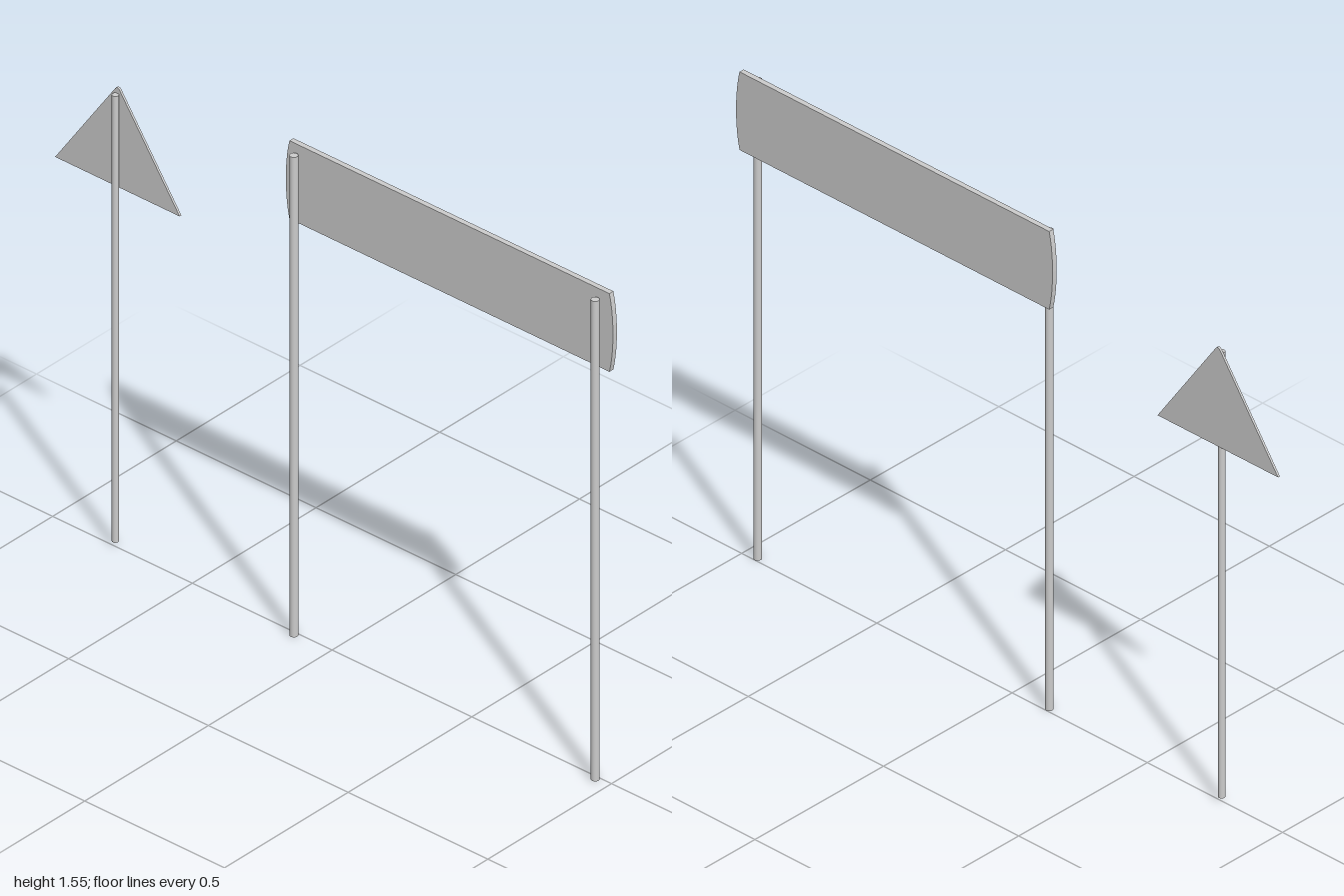
import * as THREE from 'three';

const material = new THREE.MeshStandardMaterial({ color: 0xcccccc });

// Upright round post
function post(name, radius, x, z, y0, y1) {
  const geo = new THREE.CylinderGeometry(radius, radius, y1 - y0, 16);
  geo.translate(x, (y0 + y1) / 2, z);
  const mesh = new THREE.Mesh(geo, material);
  mesh.name = name;
  return mesh;
}

// Flat plate: outline drawn in (z, y), thickness running from x0 to x1
function plate(name, shape, x0, x1) {
  const geo = new THREE.ExtrudeGeometry(shape, { depth: x1 - x0, bevelEnabled: false, curveSegments: 10 });
  geo.rotateY(-Math.PI / 2);
  geo.translate(x1, 0, 0);
  const mesh = new THREE.Mesh(geo, material);
  mesh.name = name;
  return mesh;
}

export function createModel() {
  const model = new THREE.Group();

  // Long sign board with bowed ends
  const board = new THREE.Shape();
  const [back, front, low, high] = [-0.158, 0.987, 1.303, 1.552];
  board.moveTo(back, low);
  board.lineTo(front, low);
  board.bezierCurveTo(front + 0.017, low + 0.07, front + 0.017, high - 0.07, front, high);
  board.lineTo(back, high);
  board.bezierCurveTo(back - 0.017, high - 0.07, back - 0.017, low + 0.07, back, low);

  const boardSign = new THREE.Group();
  boardSign.name = 'boardSign';
  boardSign.add(
    plate('board', board, 0.006, 0.022),
    post('boardPostFront', 0.012, -0.012, 0.952, 0, 1.528),
    post('boardPostBack', 0.012, -0.012, -0.126, 0, 1.528)
  );

  // Triangular sign with a slightly rounded tip
  const mid = -0.777;
  const triangle = new THREE.Shape();
  triangle.moveTo(mid - 0.223, 1.14);
  triangle.lineTo(mid + 0.223, 1.14);
  triangle.lineTo(mid + 0.01, 1.447);
  triangle.quadraticCurveTo(mid, 1.463, mid - 0.01, 1.447);
  triangle.closePath();

  const triangleSign = new THREE.Group();
  triangleSign.name = 'triangleSign';
  triangleSign.add(
    plate('trianglePlate', triangle, 0.01, 0.017),
    post('trianglePost', 0.01, 0.002, mid, 0.016, 1.437)
  );

  model.add(boardSign, triangleSign);
  return model;
}
